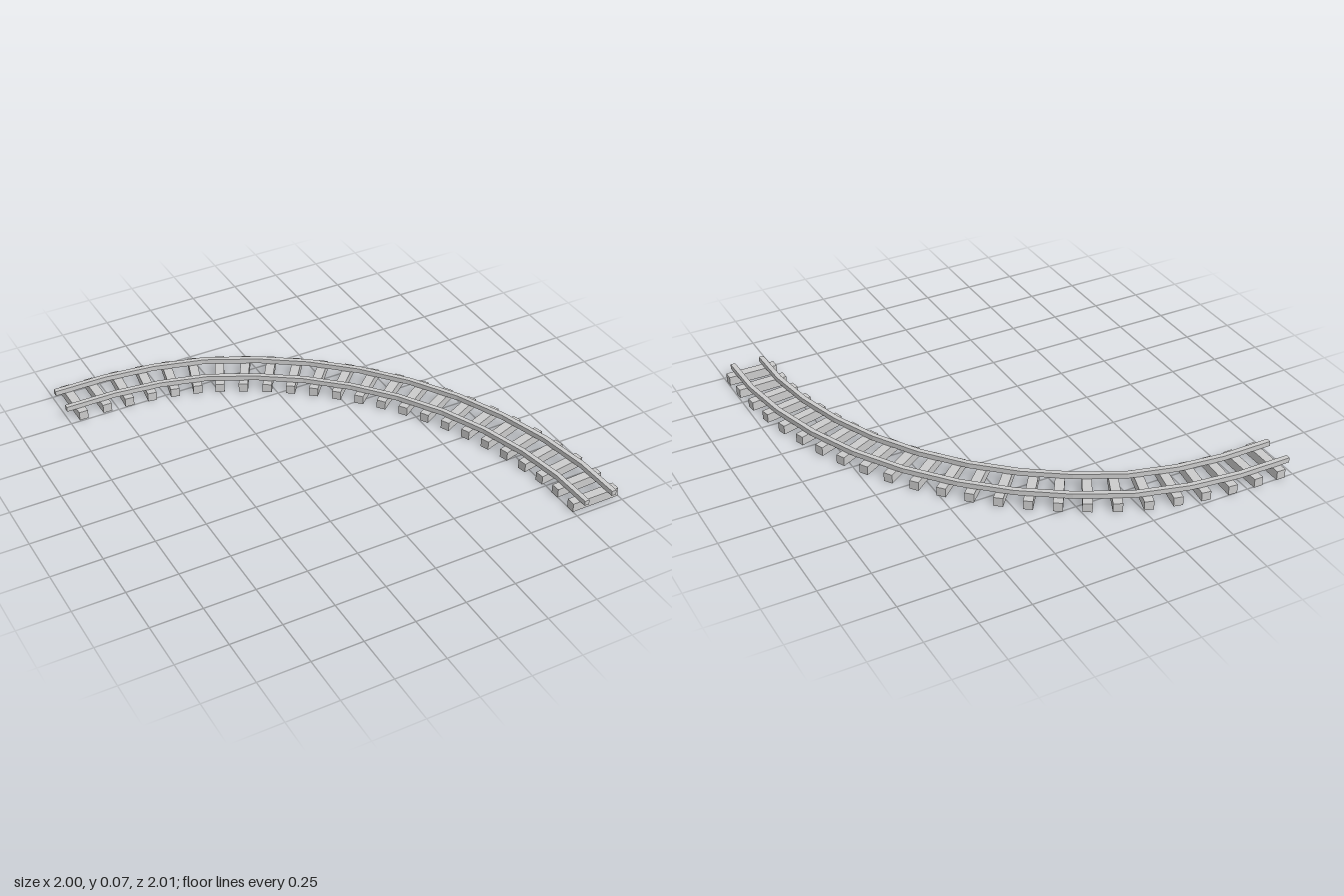
import * as THREE from 'three';

// Plan of the track's centre line, as [x, z]
const PLAN = [
  [-1, -0.88], [-0.74, -0.88], [-0.5, -0.852], [-0.26, -0.787], [-0.03, -0.67],
  [0.175, -0.53], [0.36, -0.36], [0.525, -0.16], [0.66, 0.06], [0.76, 0.29],
  [0.83, 0.53], [0.868, 0.77], [0.874, 1],
];
const TIES = 24, TIE_HEIGHT = 0.045, TIE_WIDTH = 0.045, TIE_LENGTH = 0.248;
const RAIL_TOP = 0.07, RAIL_WIDTH = 0.024, HALF_GAUGE = 0.075;

export function createModel() {
  const group = new THREE.Group();
  group.name = 'curvedRailTrack';
  const material = new THREE.MeshStandardMaterial({ color: 0xcccccc, flatShading: true });
  const path = new THREE.CatmullRomCurve3(PLAN.map(([x, z]) => new THREE.Vector3(x, 0, z)));
  path.arcLengthDivisions = 600;
  const last = PLAN.length - 1;

  // Plan points of a line parallel to the centre line (positive = inside of the bend)
  const parallel = (offset) => PLAN.map(([x, z], i) => {
    const t = path.getTangent(i / last);
    if (i === 0) t.set(1, 0, 0);
    if (i === last) t.set(0, 0, 1);
    return new THREE.Vector2(x - t.z * offset, -(z + t.x * offset));
  });

  // Rails: a faceted strip in plan, extruded upward
  const addRail = (name, offset) => {
    const inner = parallel(offset + RAIL_WIDTH / 2);
    const outer = parallel(offset - RAIL_WIDTH / 2).reverse();
    const geometry = new THREE.ExtrudeGeometry(new THREE.Shape([...inner, ...outer]), {
      depth: RAIL_TOP - TIE_HEIGHT, bevelEnabled: false,
    });
    geometry.rotateX(-Math.PI / 2).translate(0, TIE_HEIGHT, 0);
    const rail = new THREE.Mesh(geometry, material);
    rail.name = name;
    group.add(rail);
  };
  addRail('innerRail', HALF_GAUGE);
  addRail('outerRail', -HALF_GAUGE);

  // Ties: evenly spaced across the centre line
  const tieGeometry = new THREE.BoxGeometry(TIE_WIDTH, TIE_HEIGHT, TIE_LENGTH);
  const length = path.getLength();
  const start = 0.07 / length, end = 1 - 0.055 / length;
  for (let i = 0; i < TIES; i++) {
    const u = start + (end - start) * i / (TIES - 1);
    const t = path.getTangentAt(u);
    // The end ties sit square to the track ends
    if (i < 2) t.set(1, 0, 0);
    if (i === TIES - 1) t.set(0, 0, 1);
    const tie = new THREE.Mesh(tieGeometry, material);
    tie.name = `tie${i + 1}`;
    tie.position.copy(path.getPointAt(u)).setY(TIE_HEIGHT / 2);
    tie.rotation.y = Math.atan2(-t.z, t.x);
    group.add(tie);
  }
  return group;
}
